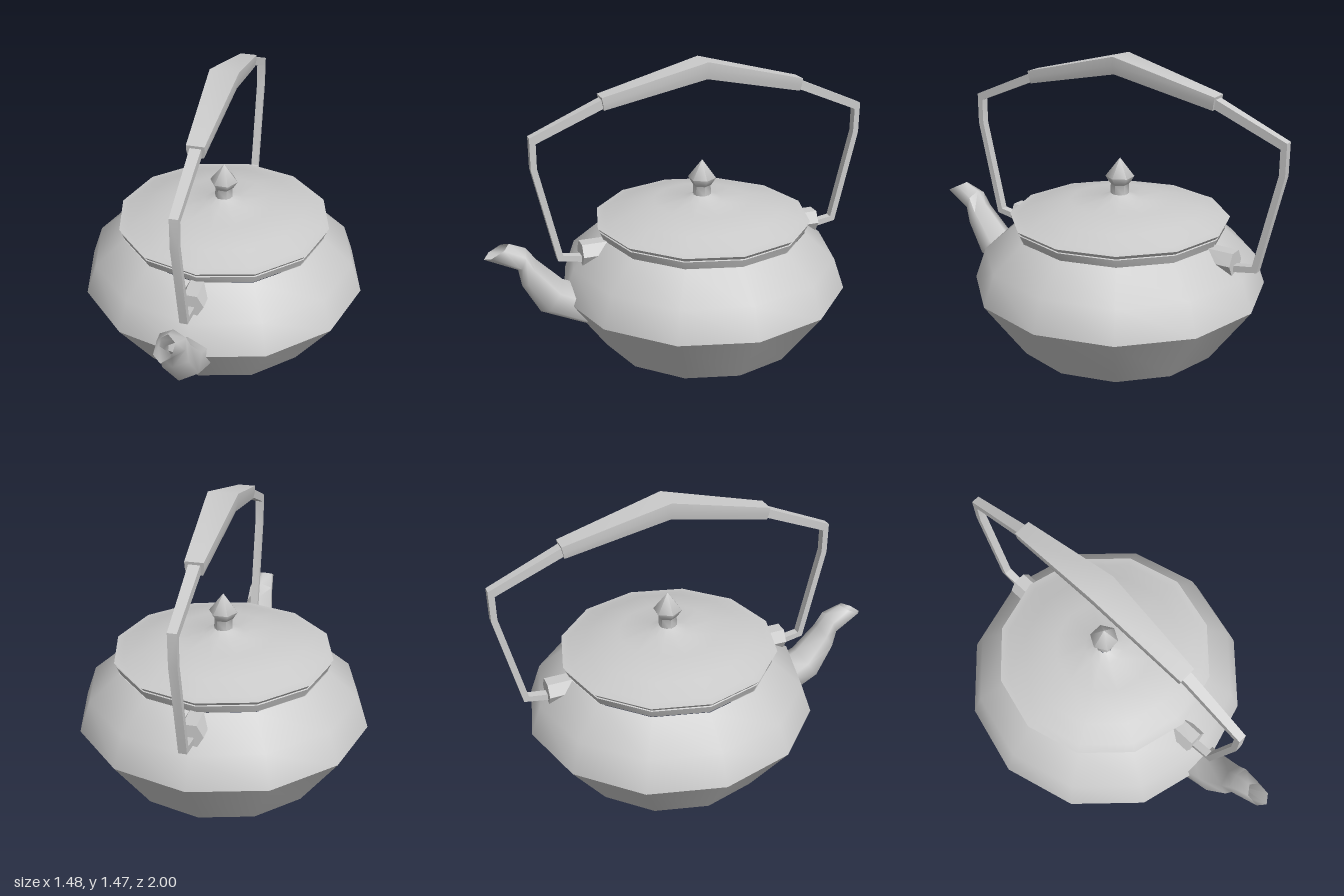
import * as THREE from 'three';
import { toCreasedNormals } from 'three/addons/utils/BufferGeometryUtils.js';

const AXIS_Z = -0.125; // centre line of the pot, set back to make room for the spout
const material = new THREE.MeshStandardMaterial({ color: 0xcccccc, side: THREE.DoubleSide });

function part(name, geometry, creaseDegrees) {
  const mesh = new THREE.Mesh(toCreasedNormals(geometry, THREE.MathUtils.degToRad(creaseDegrees)), material);
  mesh.name = name;
  return mesh;
}

function turned(name, profile, sides, phiStart, crease) {
  const points = profile.map(([r, y]) => new THREE.Vector2(r, y));
  const mesh = part(name, new THREE.LatheGeometry(points, sides, phiStart), crease);
  mesh.position.z = AXIS_Z;
  return mesh;
}

// Cross-section outlines: [side -1..1, position from outer edge 0 to inner edge 1]
const HEXAGON = [[0, 0], [1, 0.25], [1, 0.75], [0, 1], [-1, 0.75], [-1, 0.25]];
const SQUARE = [[1, 0], [1, 1], [-1, 1], [-1, 0]];
const GRIP = [[1, 0], [1, 0.5], [0.85, 1], [-0.85, 1], [-1, 0.5], [-1, 0]];

// Loft an outline through stations [outerZ, outerY, innerZ, innerY, halfWidth]
function loft(outline, stations, capped) {
  const positions = [], index = [], n = outline.length;
  for (const [oz, oy, iz, iy, w] of stations)
    for (const [s, t] of outline) positions.push(s * w, oy + (iy - oy) * t, oz + (iz - oz) * t);
  for (let i = 0; i < stations.length - 1; i++)
    for (let j = 0; j < n; j++) {
      const a = i * n + j, b = i * n + (j + 1) % n;
      index.push(a, a + n, b, b, a + n, b + n);
    }
  if (capped) {
    const last = (stations.length - 1) * n;
    for (let j = 1; j < n - 1; j++) index.push(0, j, j + 1, last, last + j + 1, last + j);
  }
  const geometry = new THREE.BufferGeometry();
  geometry.setAttribute('position', new THREE.Float32BufferAttribute(positions, 3));
  geometry.setIndex(index);
  return geometry;
}

const mirrorStation = ([oz, oy, iz, iy, w]) => [2 * AXIS_Z - oz, oy, 2 * AXIS_Z - iz, iy, w];

export function createModel() {
  const kettle = new THREE.Group();
  kettle.name = 'kettle';

  // Twelve-sided shell, open underneath
  kettle.add(turned('body', [[0.525, 0], [0.74, 0.3], [0.685, 0.458], [0.53, 0.592]], 12, 0, 40));

  // Lid with a stepped rim and a low dome
  kettle.add(turned('lid', [
    [0.525, 0.59], [0.543, 0.633], [0.537, 0.636], [0.553, 0.655], [0.51, 0.662],
    [0.41, 0.703], [0.25, 0.736], [0.1, 0.748], [0.045, 0.772],
  ], 12, 0, 40));

  // Pointed knob
  kettle.add(turned('lidKnob', [
    [0.047, 0.765], [0.045, 0.82], [0.05, 0.825], [0.072, 0.86], [0, 0.955],
  ], 6, Math.PI / 2, 65));
  kettle.add(turned('knobCollar', [[0.045, 0.82], [0.05, 0.828]], 6, Math.PI / 2, 65));

  // Curved open spout
  kettle.add(part('spout', loft(HEXAGON, [
    [0.5, 0.36, 0.49, 0.138, 0.1],
    [0.62, 0.415, 0.735, 0.254, 0.09],
    [0.746, 0.543, 0.821, 0.41, 0.07],
    [0.794, 0.61, 0.837, 0.5, 0.062],
    [0.874, 0.645, 0.998, 0.58, 0.042],
  ]), 70));

  // Hexagonal lugs and bent rods, front and back
  const rod = [
    [0.5, 0.497, 0.5, 0.53, 0.02],
    [0.639, 0.522, 0.613, 0.547, 0.02],
    [0.75, 1.01, 0.72, 1.015, 0.02],
    [0.75, 1.168, 0.72, 1.137, 0.021],
    [0.38, 1.328, 0.38, 1.28, 0.027],
  ];
  for (const [label, front] of [['front', true], ['back', false]]) {
    const lug = part(label + 'Lug', new THREE.CylinderGeometry(0.065, 0.065, 0.14, 6, 1, false, Math.PI / 2)
      .rotateX(Math.PI / 2), 40);
    lug.position.set(0, 0.54, AXIS_Z + (front ? 0.575 : -0.575));
    kettle.add(lug);
    kettle.add(part(label + 'HandleRod', loft(SQUARE, front ? rod : rod.map(mirrorStation), true), 40));
  }

  // Grip, widest at the peak
  const gripEnd = [0.4, 1.334, 0.388, 1.27, 0.043];
  kettle.add(part('handleGrip', loft(GRIP, [
    gripEnd,
    [AXIS_Z, 1.468, AXIS_Z, 1.382, 0.073],
    mirrorStation(gripEnd),
  ], true), 40));

  return kettle;
}
